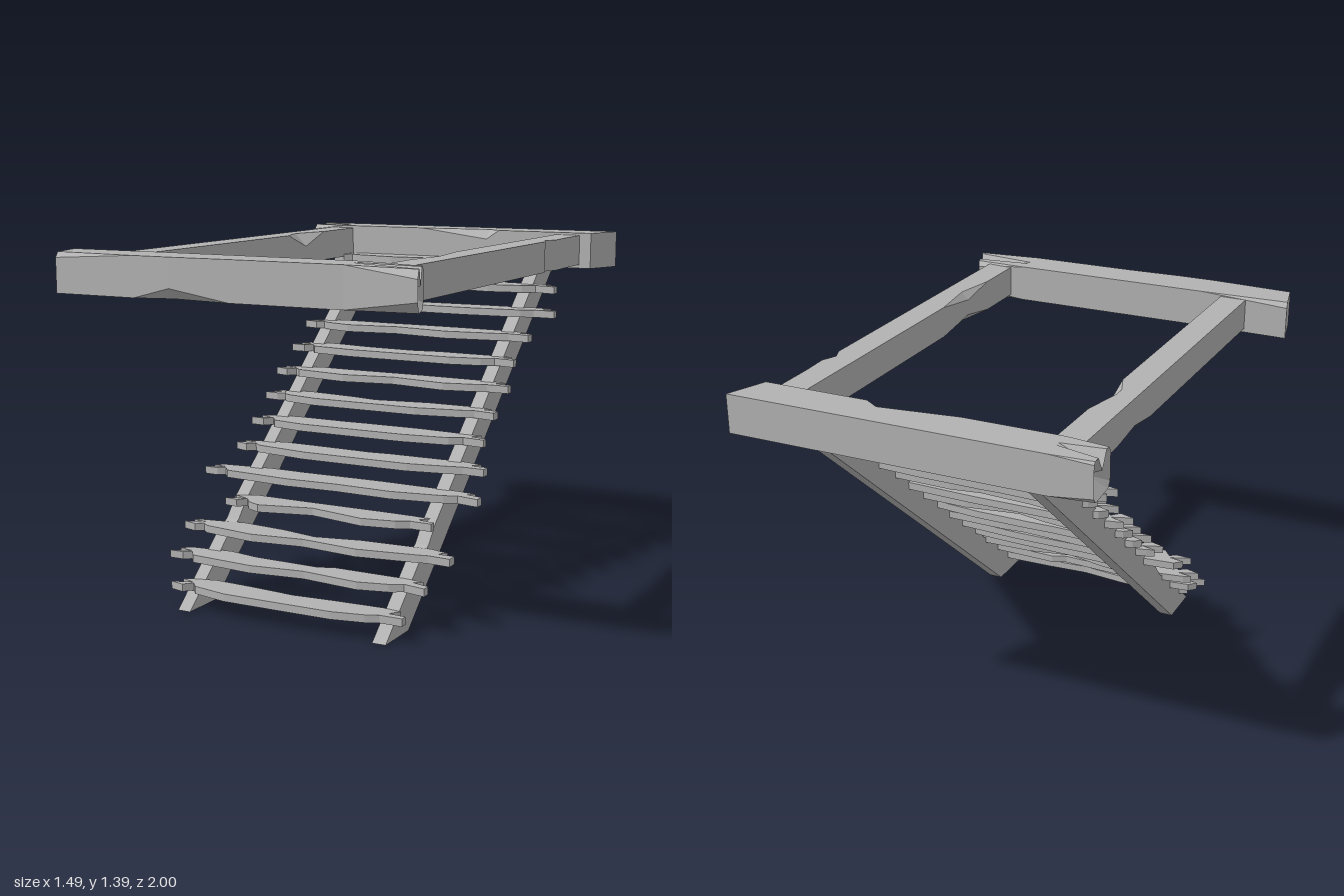
import * as THREE from 'three';

const wood = new THREE.MeshStandardMaterial({ color: 0xb2b2b2 });
wood.name = 'grey wood';

function addMesh(group, name, geometry) {
  const flat = geometry.index ? geometry.toNonIndexed() : geometry;
  flat.computeVertexNormals();
  const mesh = new THREE.Mesh(flat, wood);
  mesh.name = name;
  group.add(mesh);
  return mesh;
}

// Hewn beam along x, lofted through stations. Each station may have
// x (or [back x, front x]), box limits, corner chips c and a groove depth in the top.
// Chip order: bottom back, top back, top front, bottom front.
function beamGeometry(box, stations, insetStart = 0, insetEnd = 0) {
  const sections = stations.map((s) => {
    const { y0, y1, z0, z1, x, c = [0, 0, 0, 0], groove = 0 } = { ...box, ...s };
    const [xb, xf] = Array.isArray(x) ? x : [x, x];
    const zm = (z0 + z1) / 2, g = groove ? 0.04 : 0.02;
    const yz = [
      [y0, z0 + c[0]], [y0 + c[0], z0],
      [y1 - c[1], z0], [y1, z0 + c[1]],
      [y1, zm - g], [y1 - groove, zm], [y1, zm + g],
      [y1, z1 - c[2]], [y1 - c[2], z1],
      [y0 + c[3], z1], [y0, z1 - c[3]],
    ];
    return yz.map(([y, z]) => [xb + (xf - xb) * (z - z0) / (z1 - z0), y, z]);
  });
  const pos = [], n = sections[0].length;
  const tri = (...pts) => pts.forEach((p) => pos.push(...p));
  for (let i = 0; i < sections.length - 1; i++) {
    const A = sections[i], B = sections[i + 1];
    for (let j = 0; j < n; j++) {
      const k = (j + 1) % n;
      tri(A[j], A[k], B[k]);
      tri(A[j], B[k], B[j]);
    }
  }
  // End caps, dished inwards where the end is splintered
  const cap = (sec, inset, atEnd) => {
    const mid = [0, 1, 2].map((a) => sec.reduce((t, p) => t + p[a], 0) / n);
    mid[0] += atEnd ? -inset : inset;
    mid[1] = (box.y0 + box.y1) / 2 - 0.01;
    for (let j = 0; j < n; j++) {
      const k = (j + 1) % n;
      if (atEnd) tri(mid, sec[j], sec[k]); else tri(mid, sec[k], sec[j]);
    }
  };
  cap(sections[0], insetStart, false);
  cap(sections[sections.length - 1], insetEnd, true);
  const geo = new THREE.BufferGeometry();
  geo.setAttribute('position', new THREE.Float32BufferAttribute(pos, 3));
  return geo;
}

function addTopFrame(group) {
  addMesh(group, 'frontBeam', beamGeometry(
    { y0: 1.24, y1: 1.39, z0: 0.83, z1: 1 },
    [
      { x: [-0.75, -0.71], z0: 0.82, c: [0, 0.02, 0.02, 0] },
      { x: -0.37 },
      { x: -0.22, c: [0, 0, 0, 0.04] },
      { x: 0.02, z1: 0.99 },
      { x: 0.46, z1: 0.985 },
      { x: [0.68, 0.74], y1: 1.385, c: [0.02, 0.02, 0.03, 0.04], groove: 0.06 },
    ], 0, 0.08));
  addMesh(group, 'backBeam', beamGeometry(
    { y0: 1.24, y1: 1.39, z0: -1, z1: -0.84 },
    [
      { x: [-0.67, -0.66], c: [0.02, 0.01, 0.02, 0.02], groove: 0.06 },
      { x: -0.5 },
      { x: -0.11 },
      { x: 0.2, c: [0, 0, 0.04, 0] },
      { x: 0.26 },
      { x: [0.74, 0.68] },
    ], 0.06, 0));
  // Side beams are made along x, then turned to run along z
  const right = beamGeometry(
    { y0: 1.255, y1: 1.38, z0: 0.46, z1: 0.57 },
    [{ x: -0.85 }, { x: -0.56 }, { x: -0.4, c: [0, 0.055, 0, 0.02] }, { x: -0.25 }, { x: 0.84 }]);
  const left = beamGeometry(
    { y0: 1.255, y1: 1.38, z0: -0.63, z1: -0.52 },
    [
      { x: -0.85 }, { x: -0.65 },
      { x: -0.54, z0: -0.635 }, { x: -0.48, z0: -0.61 }, { x: -0.43 },
      { x: 0.2 }, { x: 0.42, c: [0, 0, 0.03, 0.03] }, { x: 0.6 }, { x: 0.84 },
    ]);
  addMesh(group, 'rightBeam', right.rotateY(-Math.PI / 2));
  addMesh(group, 'leftBeam', left.rotateY(-Math.PI / 2));
}

// Sloping side rails that carry the treads
function addStringers(group) {
  for (const [name, xMax] of [['rightStringer', -0.36], ['leftStringer', 0.48]]) {
    const shape = new THREE.Shape([
      [0.7, 0], [0.51, 0], [-0.94, 1.245], [-0.77, 1.245], [-0.06, 0.64],
      [0.28, 0.355], [0.34, 0.285], [0.42, 0.24],
    ].map((p) => new THREE.Vector2(...p)).reverse());
    const geo = new THREE.ExtrudeGeometry(shape, { depth: 0.055, bevelEnabled: false });
    addMesh(group, name, geo.rotateY(-Math.PI / 2).translate(xMax, 0, 0));
  }
}

// Split plank: ragged ends, wavy edges, optional dents in its front and back edge
function treadGeometry(i, x0, x1, frontDent, backDent) {
  const zFront = 0.715 - 0.1095 * i, depth = 0.145;
  const wave = (k) => 0.006 * Math.sin(i * 2.3 + k * 1.9);
  const shift = 0.05 * Math.sin(i * 1.7);
  // [x, distance behind the front edge]
  const pts = [
    [x0, 0.055], [x0 + 0.06, 0.045], [x0 + 0.09, 0.07], [x0 + 0.12, 0.035],
    [-0.2 + shift, 0.005], [0.02 + shift, 0.003 + frontDent], [0.26 + shift, 0.002],
    [x1 - 0.14, 0.03], [x1 - 0.09, 0.05], [x1, 0.04],
    [x1, 0.075], [x1 - 0.07, 0.085], [x1 - 0.04, 0.115],
    [x1 - 0.12, 0.13], [0.2 - shift, 0.143 - backDent * 0.4], [0.04 + shift, 0.143 - backDent],
    [-0.14 - shift, 0.14 - backDent * 0.4], [-0.32, depth],
    [x0 + 0.05, 0.12], [x0 + 0.02, 0.1], [x0 + 0.08, 0.085],
  ];
  const shape = new THREE.Shape(
    pts.map(([x, d], k) => new THREE.Vector2(x, zFront - d + wave(k) * (d > 0.01 && d < 0.14 ? 1 : 0))));
  return new THREE.ExtrudeGeometry(shape, { depth: 0.03, bevelEnabled: false }).rotateX(Math.PI / 2);
}

function addTreads(group) {
  // left end, right end, front dent, back dent
  const treads = [
    [-0.47, 0.53, 0, 0.03], [-0.545, 0.57, 0.025, 0.04], [-0.555, 0.62, 0.035, 0.05],
    [-0.425, 0.49, 0.05, 0.01], [-0.59, 0.635, 0.01, 0], [-0.51, 0.61, 0, 0.01],
    [-0.495, 0.56, 0, 0], [-0.495, 0.56, 0, 0.045], [-0.505, 0.57, 0.04, 0],
    [-0.485, 0.55, 0, 0.04], [-0.485, 0.57, 0.04, 0], [-0.57, 0.635, 0, 0.03],
    [-0.53, 0.595, 0.03, 0.02], [-0.52, 0.56, 0.03, 0],
  ];
  treads.forEach(([x0, x1, f, b], i) => {
    const geo = treadGeometry(i, x0, x1, f, b).translate(0, 0.098 + 0.0899 * i, 0);
    addMesh(group, 'tread' + (i + 1), geo);
  });
}

export function createModel() {
  const model = new THREE.Group();
  model.name = 'hatchStairs';
  addTopFrame(model);
  addStringers(model);
  addTreads(model);
  return model;
}
